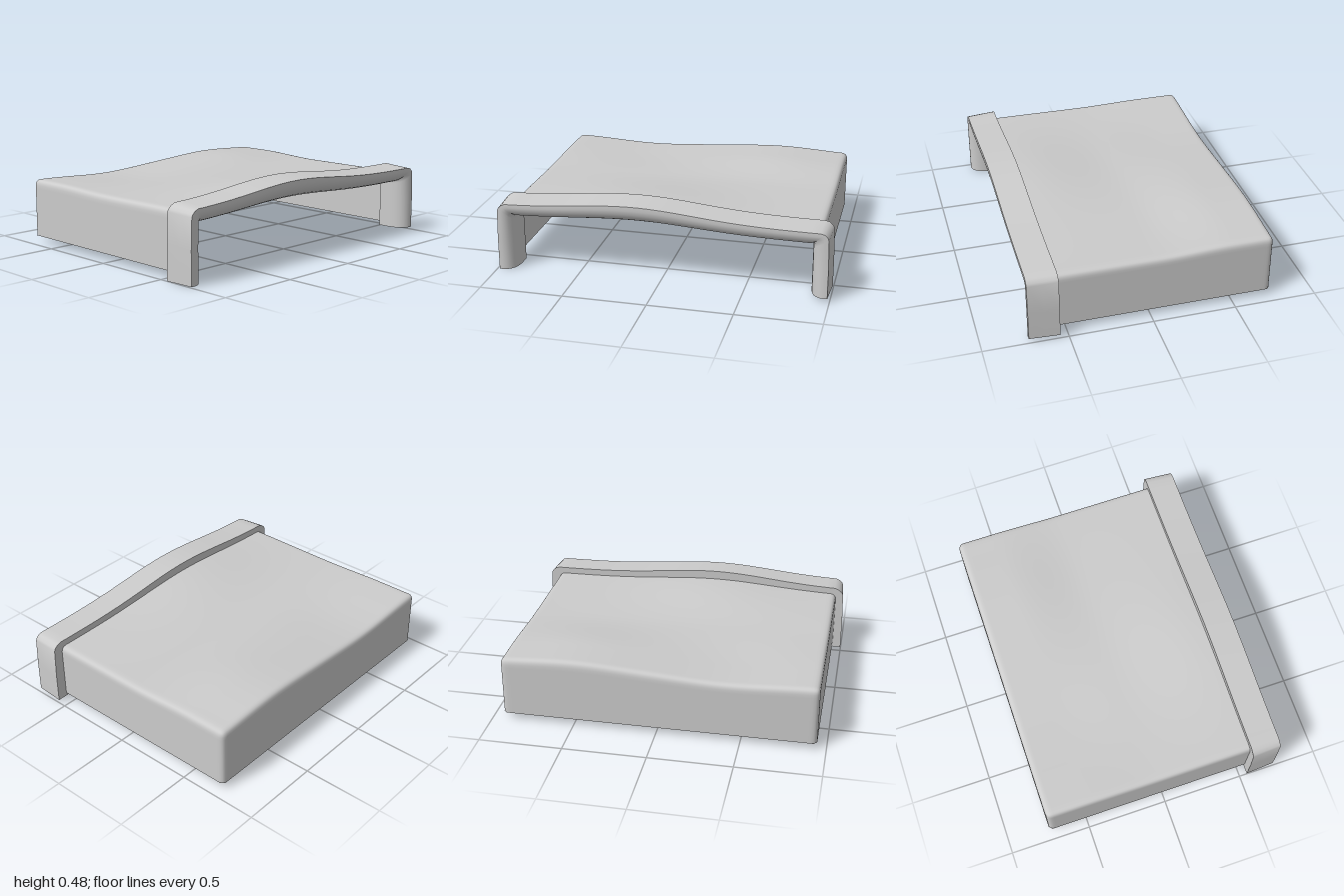
import * as THREE from 'three';
import { mergeVertices, toCreasedNormals } from 'three/addons/utils/BufferGeometryUtils.js';

const material = new THREE.MeshStandardMaterial({ color: 0xcccccc, side: THREE.DoubleSide });
const bump = (x, centre, width) => Math.exp(-(((x - centre) / width) ** 2));
const { smoothstep, clamp } = THREE.MathUtils;

const FLOOR = 0.04, ROOF = 0.385, BACK = -0.74, FRONT = 0.6, HALF = 0.94, MID = -0.005, WALL = 0.02;

// Gentle waves added to the roof: a hump at the front, a swell and a dip at the back.
function wave(x, z) {
  const front = smoothstep(z, -0.1, 0.5);
  const back = smoothstep(-z, 0.05, 0.5);
  return front * 0.045 * bump(x, -0.15, 0.5)
    + back * (0.012 + 0.025 * bump(x, 0.5, 0.35) - 0.024 * bump(x, -0.4, 0.35));
}

// Box without front and bottom, with rounded edges and a wavy roof; inset makes the lining.
function shellGeometry(inset) {
  const box = new THREE.BoxGeometry(1, 1, 1, 44, 14, 36);
  const index = box.index.array, kept = [];
  for (const g of box.groups) {
    if (g.materialIndex === 3 || g.materialIndex === 4) continue;
    for (let k = g.start; k < g.start + g.count; k += 3) {
      const [a, b, c] = index.slice(k, k + 3);
      kept.push(a, ...(inset ? [c, b] : [b, c]));
    }
  }
  box.setIndex(kept);
  box.clearGroups();
  box.deleteAttribute('normal');
  box.deleteAttribute('uv');

  const half = HALF - inset, top = ROOF - inset, back = BACK + inset, r = inset ? 0.02 : 0.035;
  const pos = box.attributes.position, p = new THREE.Vector3(), core = new THREE.Vector3();
  for (let i = 0; i < pos.count; i++) {
    p.fromBufferAttribute(pos, i);
    // crowd the grid lines towards the rounded edges
    p.set(
      half * Math.sin(Math.PI * p.x),
      FLOOR + (top - FLOOR) * Math.sin((p.y + 0.5) * Math.PI / 2),
      back + (FRONT - back) * (1 - Math.cos((p.z + 0.5) * Math.PI / 2))
    );
    core.set(clamp(p.x, r - half, half - r), Math.min(p.y, top - r), Math.max(p.z, back + r));
    p.sub(core);
    if (p.lengthSq() > 1e-10) p.setLength(r);
    p.add(core);
    p.x += MID;
    p.y += wave(p.x, p.z) * (p.y - FLOOR) / (top - FLOOR);
    pos.setXYZ(i, p.x, p.y, p.z);
  }
  const geometry = mergeVertices(box);
  geometry.computeVertexNormals();
  return geometry;
}

// Flat U-shaped rim that closes the wall thickness underneath.
function rimGeometry() {
  const outline = (inset, c) => {
    const h = HALF - inset, b = BACK + inset;
    return [[-h, FRONT], [-h, b + c], [-h + c, b], [h - c, b], [h, b + c], [h, FRONT]]
      .map(([x, z]) => new THREE.Vector2(x + MID, z));
  };
  const shape = new THREE.Shape([...outline(0, 0.02), ...outline(WALL, 0.012).reverse()]);
  return new THREE.ShapeGeometry(shape).rotateX(Math.PI / 2).translate(0, FLOOR, 0);
}

// Thick front arch: outer and inner paths joined by a profile with a rounded front.
function archGeometry() {
  const topY = x => 0.425 + 0.06 * bump(x, -0.15, 0.5);
  const underY = x => 0.322 + 0.038 * bump(x, -0.15, 0.5);
  // each station: outer x, outer y, inner x, inner y
  const leg = (s, foot) => [
    [0.998, foot, 0.885, foot], [0.998, 0.2, 0.885, 0.2], [0.992, 0.385, 0.885, 0.31],
    [0.985, 0.4, 0.885, 0.325], [0.965, 0.418, 0.88, 0.335]
  ].map(([a, b, c, d]) => [s * a, b, s * c, d]);
  const stations = leg(-1, 0);
  for (let i = 0; i <= 32; i++) {
    const t = i / 16 - 1, xo = 0.94 * t, xi = 0.87 * t;
    stations.push([xo, topY(xo), xi, underY(xi)]);
  }
  stations.push(...leg(1, 0.02).reverse());

  // profile: z and share of the way from outer to inner path
  const profile = [[0.55, 0], [0.64, 0.05], [0.73, 0.1], [0.732, 0.3], [0.727, 0.5],
    [0.715, 0.68], [0.695, 0.83], [0.665, 0.94], [0.625, 1], [0.55, 1]];
  const n = profile.length, verts = [], faces = [];
  for (const [xo, yo, xi, yi] of stations)
    for (const [z, w] of profile) verts.push(xo + (xi - xo) * w, yo + (yi - yo) * w, z);
  const last = (stations.length - 1) * n;
  for (let i = 0; i < last; i += n)
    for (let j = 0; j < n; j++) {
      const k = (j + 1) % n;
      faces.push(i + j, i + k, i + n + j, i + k, i + n + k, i + n + j);
    }
  // soles of the legs
  for (let j = 1; j < n - 1; j++) faces.push(0, j + 1, j, last, last + j, last + j + 1);

  const geometry = new THREE.BufferGeometry();
  geometry.setAttribute('position', new THREE.Float32BufferAttribute(verts, 3));
  geometry.setIndex(faces);
  return toCreasedNormals(geometry, 0.7);
}

export function createModel() {
  const group = new THREE.Group();
  group.name = 'wavyCover';
  const add = (name, geometry) => {
    const mesh = new THREE.Mesh(geometry, material);
    mesh.name = name;
    group.add(mesh);
  };
  add('outerShell', shellGeometry(0));
  add('innerLining', shellGeometry(WALL));
  add('bottomRim', rimGeometry());
  add('frontArch', archGeometry());
  return group;
}
